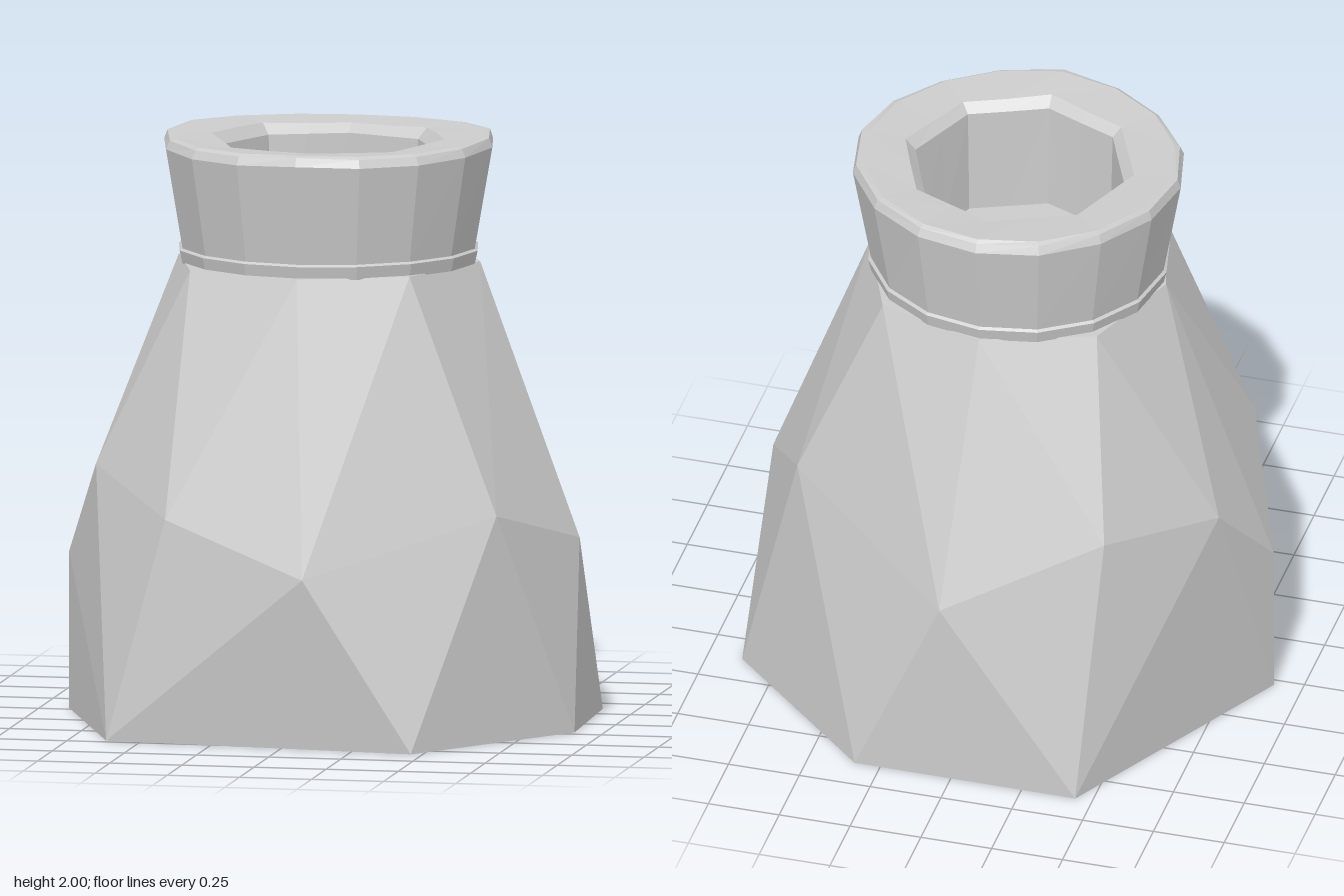
import * as THREE from 'three';
import { ConvexGeometry } from 'three/addons/geometries/ConvexGeometry.js';

const material = new THREE.MeshStandardMaterial({ color: 0xcccccc, flatShading: true });

// Joins rings of points (bottom to top on the outside) into a faceted skin
function loft(rings) {
  const n = rings[0].length;
  const index = [];
  for (let r = 0; r < rings.length - 1; r++) {
    for (let i = 0; i < n; i++) {
      const a = r * n + i, b = r * n + (i + 1) % n;
      index.push(a, b, b + n, a, b + n, a + n);
    }
  }
  const geometry = new THREE.BufferGeometry();
  geometry.setAttribute('position', new THREE.Float32BufferAttribute(rings.flat(2), 3));
  geometry.setIndex(index);
  const flat = geometry.toNonIndexed();
  flat.computeVertexNormals();
  return flat;
}

// Chunky stone body: foot polygon, staggered belly corners and neck polygon
function makeBody() {
  const foot = [[0.46, 0.84], [0.9, 0.21], [0.88, -0.37], [0.34, -0.875],
    [-0.44, -0.88], [-0.9, -0.03], [-0.62, 0.72]].map(([x, z]) => [x, 0, z]);
  const belly = [[0.09, 0.59, 0.875], [0.68, 0.77, 0.46], [0.875, 0.64, 0],
    [0.66, 0.89, -0.46], [0.04, 0.68, -0.88], [-0.48, 0.9, -0.66],
    [-0.78, 0.83, -0.29], [-0.9, 0.54, -0.03], [-0.74, 0.89, 0.3], [-0.42, 0.76, 0.7]];
  const neck = [[0, 0.52], [0.36, 0.37], [0.52, -0.05], [0.37, -0.42],
    [0, -0.53], [-0.38, -0.4], [-0.52, -0.03], [-0.4, 0.37]].map(([x, z]) => [x, 1.57, z]);
  const points = [...foot, ...belly, ...neck].map((p) => new THREE.Vector3(...p));
  return new ConvexGeometry(points);
}

// Flared collar: sixteen-sided outside, eight-sided socket inside
function makeCollar() {
  const sides = 16;
  // radius, height, whether octagonal, roughness
  const profile = [
    [0.505, 1.565, false, 0.004], [0.515, 1.61, false, 0.004], [0.505, 1.617, false, 0.004],
    [0.563, 1.96, false, 0.008], [0.55, 1.99, false, 0.01], [0.53, 1.995, false, 0.005],
    [0.4, 1.985, true, 0.005], [0.365, 1.95, true, 0.004], [0.352, 1.57, true, 0],
  ];
  const rings = profile.map(([radius, y, octagon, rough]) => {
    const ring = [];
    for (let i = 0; i < sides; i++) {
      const a = (i / sides) * Math.PI * 2;
      const wobble = rough * Math.sin(i * 5.3);
      const r = (radius + wobble) * (octagon && i % 2 ? Math.cos(Math.PI / 8) : 1);
      const height = Math.min(2, y + (y > 1.95 ? wobble : 0));
      ring.push([Math.sin(a) * r, height, Math.cos(a) * r - 0.018]);
    }
    return ring;
  });
  return loft(rings);
}

export function createModel() {
  const group = new THREE.Group();
  group.name = 'stoneVessel';
  const add = (name, geometry) => {
    const mesh = new THREE.Mesh(geometry, material);
    mesh.name = name;
    group.add(mesh);
  };
  add('body', makeBody());
  add('collar', makeCollar());
  return group;
}
